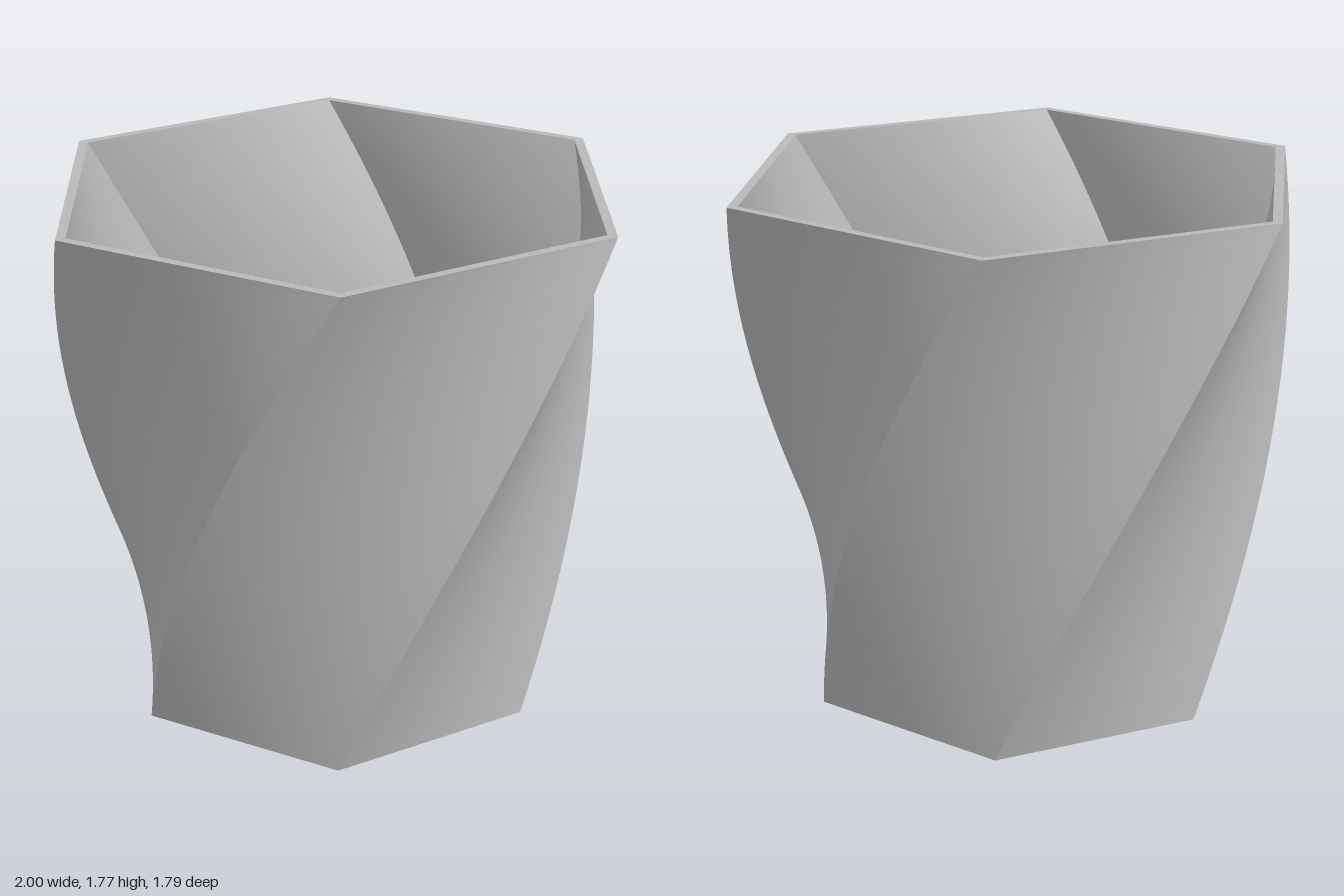
import * as THREE from 'three';

const HEIGHT = 1.77, TWIST = Math.PI / 3, SIDES = 6;
const WALL = 0.036, FLOOR_Y = 0.085, HOLE_R = 0.083;

// Radius of the flaring hexagon at height y
const radiusAt = (y) => {
  const t = y / HEIGHT;
  return 0.727 + 0.273 * t - 0.028 * t * (1 - t);
};

// Corner k of the twisting hexagon at height y, drawn in by inset
function corner(k, y, inset = 0) {
  const a = (k / SIDES) * Math.PI * 2 - (TWIST * y) / HEIGHT;
  const r = radiusAt(y) - inset;
  return new THREE.Vector3(r * Math.cos(a), y, r * Math.sin(a));
}

// Six twisted faces, smooth within each face and sharp where they meet
function twistedWall(y0, y1, inset, inward) {
  const rows = 64, cols = 10, pos = [], idx = [];
  for (let k = 0; k < SIDES; k++) {
    const base = pos.length / 3;
    for (let i = 0; i <= rows; i++) {
      const y = y0 + ((y1 - y0) * i) / rows;
      const a = corner(k, y, inset), b = corner(k + 1, y, inset);
      for (let j = 0; j <= cols; j++) pos.push(...a.clone().lerp(b, j / cols).toArray());
    }
    for (let i = 0; i < rows; i++) {
      for (let j = 0; j < cols; j++) {
        const p = base + i * (cols + 1) + j, q = p + 1, r = p + cols + 1, s = r + 1;
        if (inward) idx.push(p, q, r, q, s, r);
        else idx.push(p, r, q, q, r, s);
      }
    }
  }
  const g = new THREE.BufferGeometry();
  g.setAttribute('position', new THREE.Float32BufferAttribute(pos, 3));
  g.setIndex(idx);
  g.computeVertexNormals();
  return g;
}

// Flat hexagonal plate at height y with a hole, facing up or down
function hexPlate(y, inset, hole, up) {
  const flip = up ? -1 : 1;
  const outline = (ins) => Array.from({ length: SIDES }, (_, k) => {
    const c = corner(k, y, ins);
    return new THREE.Vector2(c.x, flip * c.z);
  });
  const shape = new THREE.Shape(outline(inset));
  if (hole === 'hex') shape.holes.push(new THREE.Path(outline(WALL)));
  else shape.holes.push(new THREE.Path().absarc(0, 0, HOLE_R, 0, Math.PI * 2, true));
  const g = new THREE.ShapeGeometry(shape, 32);
  g.rotateX(flip * Math.PI / 2);
  g.translate(0, y, 0);
  return g;
}

export function createModel() {
  const grey = new THREE.MeshStandardMaterial({ color: 0xb8b8b8 });
  grey.name = 'grey';
  const greyInside = grey.clone();
  greyInside.name = 'grey open surface';
  greyInside.side = THREE.BackSide;

  const model = new THREE.Group();
  model.name = 'twistedPlanter';
  const add = (name, geometry, material = grey) => {
    const m = new THREE.Mesh(geometry, material);
    m.name = name;
    model.add(m);
  };

  // Outer and inner wall with the rim between them
  add('outerWall', twistedWall(0, HEIGHT, 0, false));
  add('innerWall', twistedWall(FLOOR_Y, HEIGHT, WALL, true));
  add('rim', hexPlate(HEIGHT, 0, 'hex', true));

  // Floor, underside and drain hole
  add('floor', hexPlate(FLOOR_Y, WALL, 'round', true));
  add('underside', hexPlate(0, 0, 'round', false));
  const drain = new THREE.CylinderGeometry(HOLE_R, HOLE_R, FLOOR_Y, 64, 1, true);
  drain.translate(0, FLOOR_Y / 2, 0);
  add('drainHole', drain, greyInside);

  return model;
}
